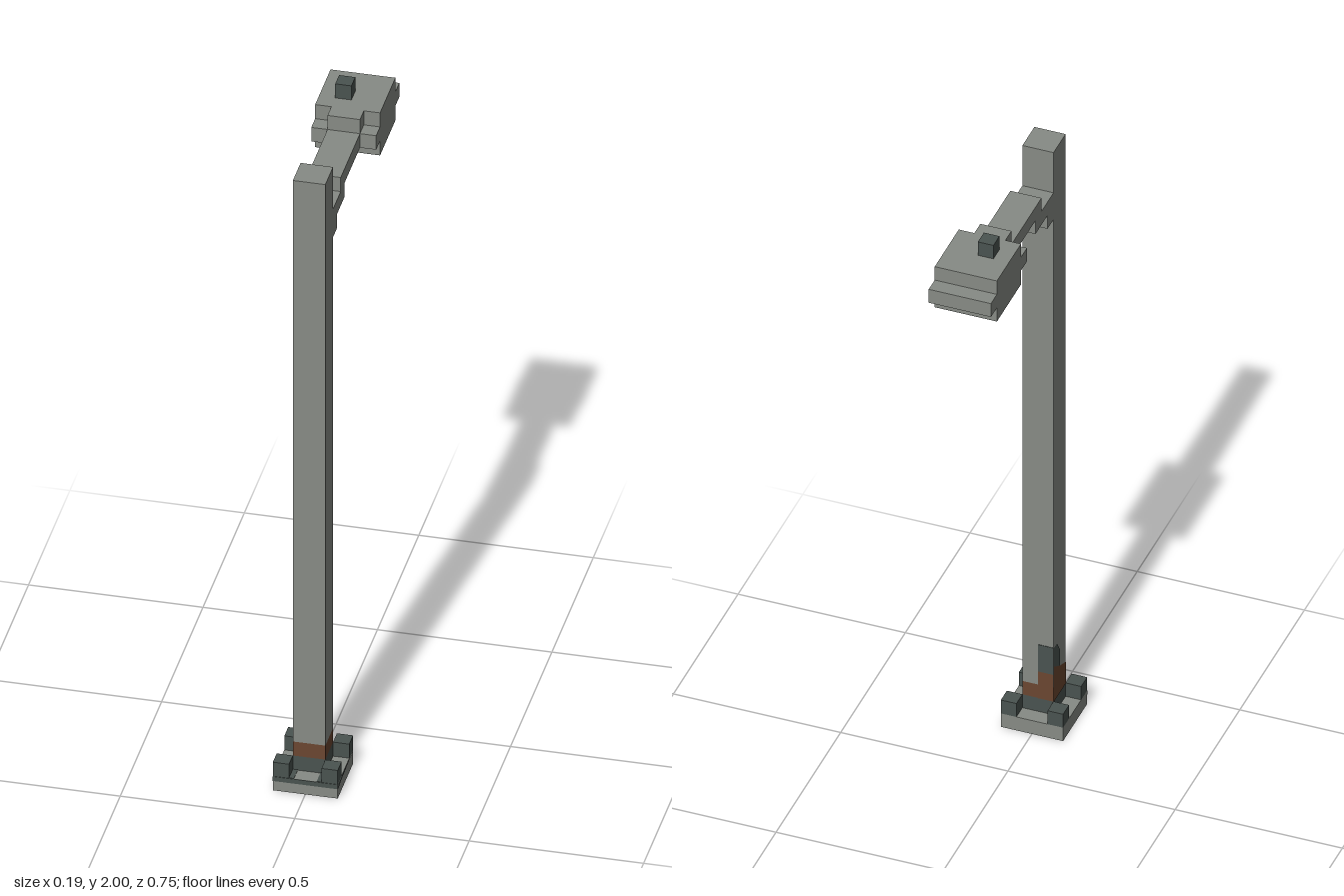
import * as THREE from 'three';

const U = 2 / 43; // one grid cell

export function createModel() {
  const model = new THREE.Group();
  model.name = 'streetLamp';

  const mat = (name, color) => {
    const m = new THREE.MeshStandardMaterial({ color });
    m.name = name;
    return m;
  };
  const grey = mat('paintedMetal', 0x878b85);
  const dark = mat('darkMetal', 0x4a5350);
  const rust = mat('rust', 0x6b4630);

  // box given by its cell limits on each axis
  const box = (name, material, [x0, x1], [y0, y1], [z0, z1]) => {
    const g = new THREE.BoxGeometry((x1 - x0) * U, (y1 - y0) * U, (z1 - z0) * U);
    const mesh = new THREE.Mesh(g, material);
    mesh.name = name;
    mesh.position.set((x0 + x1) / 2 * U, (y0 + y1) / 2 * U, (z0 + z1) / 2 * U);
    model.add(mesh);
    return mesh;
  };
  // thin painted outline on the x/y plane, in cells
  const plate = (name, material, points) => {
    const shape = new THREE.Shape(points.map(([x, y]) => new THREE.Vector2(x * U, y * U)));
    const mesh = new THREE.Mesh(new THREE.ShapeGeometry(shape), material);
    mesh.name = name;
    model.add(mesh);
    return mesh;
  };
  const T = 0.03; // paint thickness in cells

  // base slab with four corner bolts
  box('baseSlab', grey, [-2, 2], [0, 1], [4, 8]);
  for (const x of [-2, 1]) {
    for (const z of [4, 7]) box('cornerBolt', dark, [x, x + 1], [1, 2], [z, z + 1]);
  }

  // stains on the slab edges and top
  box('frontStain', dark, [-2, 2], [0.68, 1], [8, 8 + T]);
  const sideStain = plate('sideStain', dark, [[-8, 0.7], [-7, 0.85], [-4, 1], [-8, 1]]);
  sideStain.rotation.y = Math.PI / 2;
  sideStain.position.x = (2 + T) * U;
  for (const x of [-1, 0.7]) box('topStain', dark, [x, x + 0.3], [1, 1 + T], [7, 8]);

  // pole
  box('poleFoot', dark, [-1, 1], [1, 2], [5, 7]);
  box('poleRustBand', rust, [-1, 1], [2, 3], [5, 7]);
  box('pole', grey, [-1, 1], [3, 43], [5, 7]);

  // rust and grime climbing the back and one side of the pole
  box('backRust', rust, [-1, 0], [2, 4], [5 - T, 5]);
  box('backGrime', dark, [-1, 0], [4, 6], [5 - T, 5]);
  const sideRust = plate('sideRust', rust, [[5, 2], [7, 2], [7, 3.6], [6, 4], [5, 4.6]]);
  const sideGrime = plate('sideGrime', dark, [[5, 4.6], [6, 4], [6, 5.2], [5.5, 6], [5, 6]]);
  for (const m of [sideRust, sideGrime]) {
    m.rotation.y = -Math.PI / 2;
    m.position.x = -(1 + T) * U;
  }

  // stepped bracket and arm
  box('bracketLower', grey, [-1, 1], [38, 39], [4, 5]);
  box('bracketUpper', grey, [-1, 1], [39, 40], [2, 5]);
  box('arm', grey, [-1, 1], [40, 41], [-2, 3]);

  // lamp head
  box('headCollar', grey, [-2, 2], [40, 41], [-3, -2]);
  box('headCollarRidge', grey, [-1, 1], [41, 42], [-3, -2]);
  box('lampHead', grey, [-2, 2], [39, 42], [-7, -3]);
  box('headTip', grey, [-2, 2], [40, 41], [-8, -7]);
  box('lampPanel', dark, [-2, 2], [39 - T, 39], [-7, -3]);
  box('lightSensor', dark, [-1, 0], [42, 43], [-5, -4]);

  return model;
}
